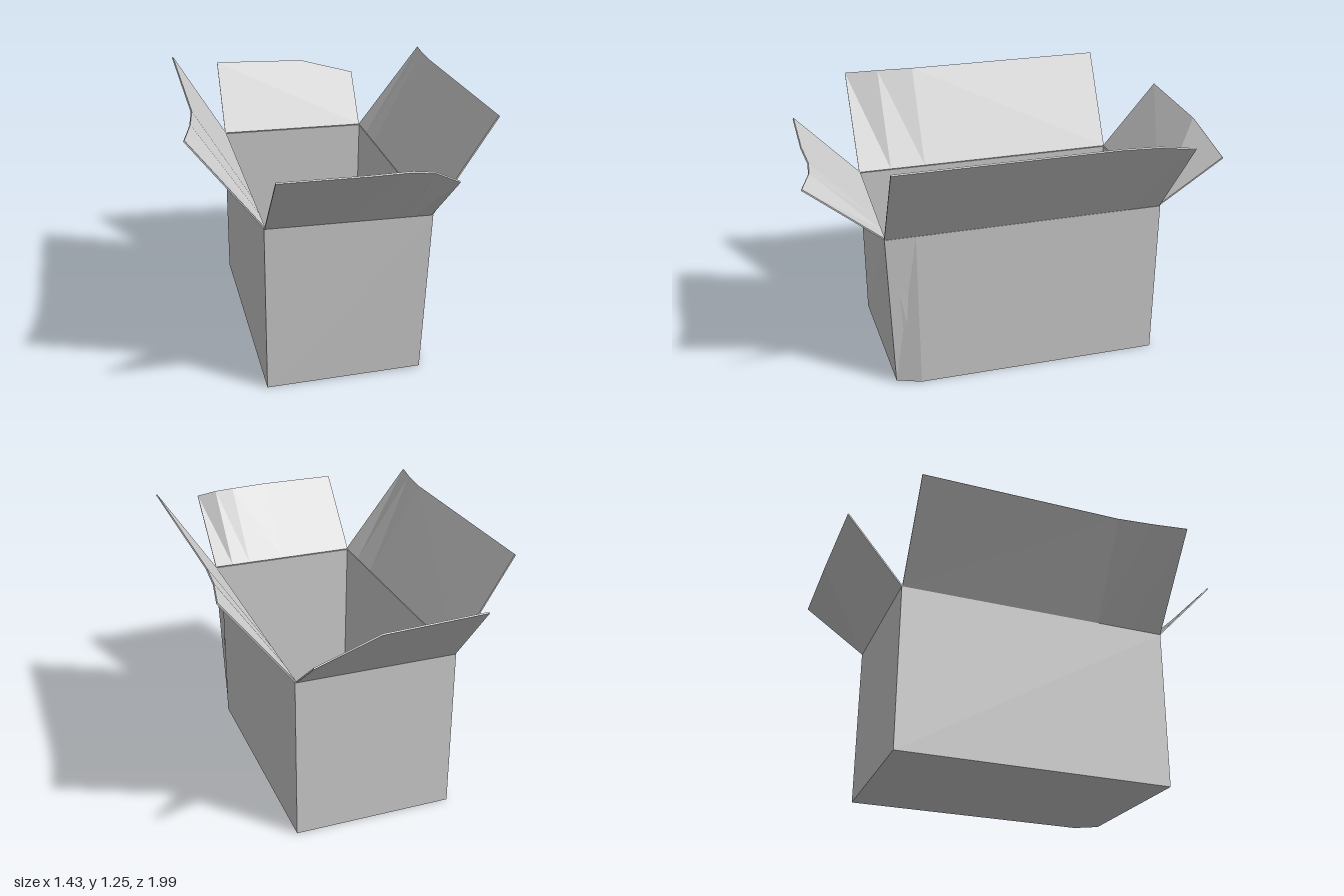
import * as THREE from 'three';

const material = new THREE.MeshStandardMaterial({ color: 0xcccccc, flatShading: true, side: THREE.DoubleSide });

// Collects triangles from corner points into a flat-shaded mesh
function makeMesh(name, triangles) {
  const geometry = new THREE.BufferGeometry();
  geometry.setAttribute('position', new THREE.Float32BufferAttribute(triangles.flat(2), 3));
  geometry.computeVertexNormals();
  const mesh = new THREE.Mesh(geometry, material);
  mesh.name = name;
  return mesh;
}

// Quad a-b-c-d, split along a-c or along b-d
const quad = (a, b, c, d, flip) => (flip ? [[a, b, d], [b, c, d]] : [[a, b, c], [a, c, d]]);
// Polygon as a fan from its first corner
const fan = (p) => p.slice(2).map((q, i) => [p[0], p[i + 1], q]);

// Open carton: outer wall, rim, inner wall and floor as nested loops
function createCarton() {
  const X0 = -0.388, X1 = 0.385, Z0 = -0.7, Z1 = 0.645;
  // Loop runs counter-clockwise seen from above; the second corner is the dented one
  const loop = (inset, y, dent) => [
    [X0 + inset, y, Z1 - inset],
    [X1 - inset - 0.03 * dent, y + 0.01 * dent, Z1 - inset - 0.025 * dent],
    [X1 - inset, y, 0.5],
    [X1 - inset, y, Z0 + inset],
    [X0 + inset, y, Z0 + inset],
  ];
  const rings = [loop(0, 0, 1), loop(0, 0.805, 0), loop(0.006, 0.805, 0), loop(0.02, 0.012, 0.6)];
  const tris = [];
  for (let r = 0; r < rings.length - 1; r++) {
    const low = rings[r], high = rings[r + 1], n = low.length;
    for (let i = 0; i < n; i++) {
      const j = (i + 1) % n;
      tris.push(...quad(low[i], low[j], high[j], high[i]));
    }
  }
  tris.push(...fan([...rings[0]].reverse()), ...fan(rings[3]));
  return makeMesh('cartonBody', tris);
}

// Bent flap: stations of [hinge, tip] running left to right seen from outside,
// thickened towards the inside by the vector o
function createFlap(name, stations, o) {
  const shift = (p) => p.map((v, i) => v + o[i]);
  const sections = stations.map(([h, t]) => [h, t, shift(t), shift(h)]);
  const tris = [];
  for (let i = 0; i < sections.length - 1; i++) {
    const s = sections[i], e = sections[i + 1];
    for (let k = 0; k < 4; k++) {
      const m = (k + 1) % 4;
      tris.push(...quad(s[k], e[k], e[m], s[m], k === 2));
    }
  }
  tris.push(...fan(sections[0]), ...fan([...sections[sections.length - 1]].reverse()));
  return makeMesh(name, tris);
}

export function createModel() {
  const group = new THREE.Group();
  group.name = 'openCardboardBox';
  group.add(createCarton());

  const Y = 0.805, t = 0.005;

  // Short flaps: [hinge x, tip x, tip y, tip z]
  const across = (z, rows) => rows.map(([hx, x, y, tz]) => [[hx, Y, z], [x, y, tz]]);
  group.add(createFlap('frontFlap', across(0.645, [
    [-0.385, -0.385, 1.135, 0.955],
    [0, 0, 1.135, 0.955],
    [0.19, 0.19, 1.133, 0.941],
    [0.285, 0.285, 1.125, 0.95],
    [0.378, 0.376, 1.095, 0.993],
  ]), [0, t, -t]));
  group.add(createFlap('backFlap', across(-0.7, [
    [0.378, 0.405, 1.03, -1],
    [0.378, 0.1, 1.12, -0.98],
    [0.378, -0.385, 1.135, -0.975],
    [-0.385, -0.385, 1.135, -0.975],
  ]), [0, t, t]));

  // Long flaps: [z, tip x, tip y]
  const along = (x, rows) => rows.map(([z, tx, ty]) => [[x, Y, z], [tx, ty, z]]);
  group.add(createFlap('leftFlap', along(0.383, [
    [0.645, 0.672, 1.25],
    [-0.37, 0.672, 1.25],
    [-0.54, 0.685, 1.248],
    [-0.697, 0.713, 1.235],
  ]), [-t, t, 0]));
  group.add(createFlap('rightFlap', along(-0.386, [
    [-0.697, -0.655, 1.25],
    [0.3, -0.652, 1.25],
    [0.48, -0.676, 1.246],
    [0.645, -0.718, 1.233],
  ]), [t, t, 0]));

  return group;
}
